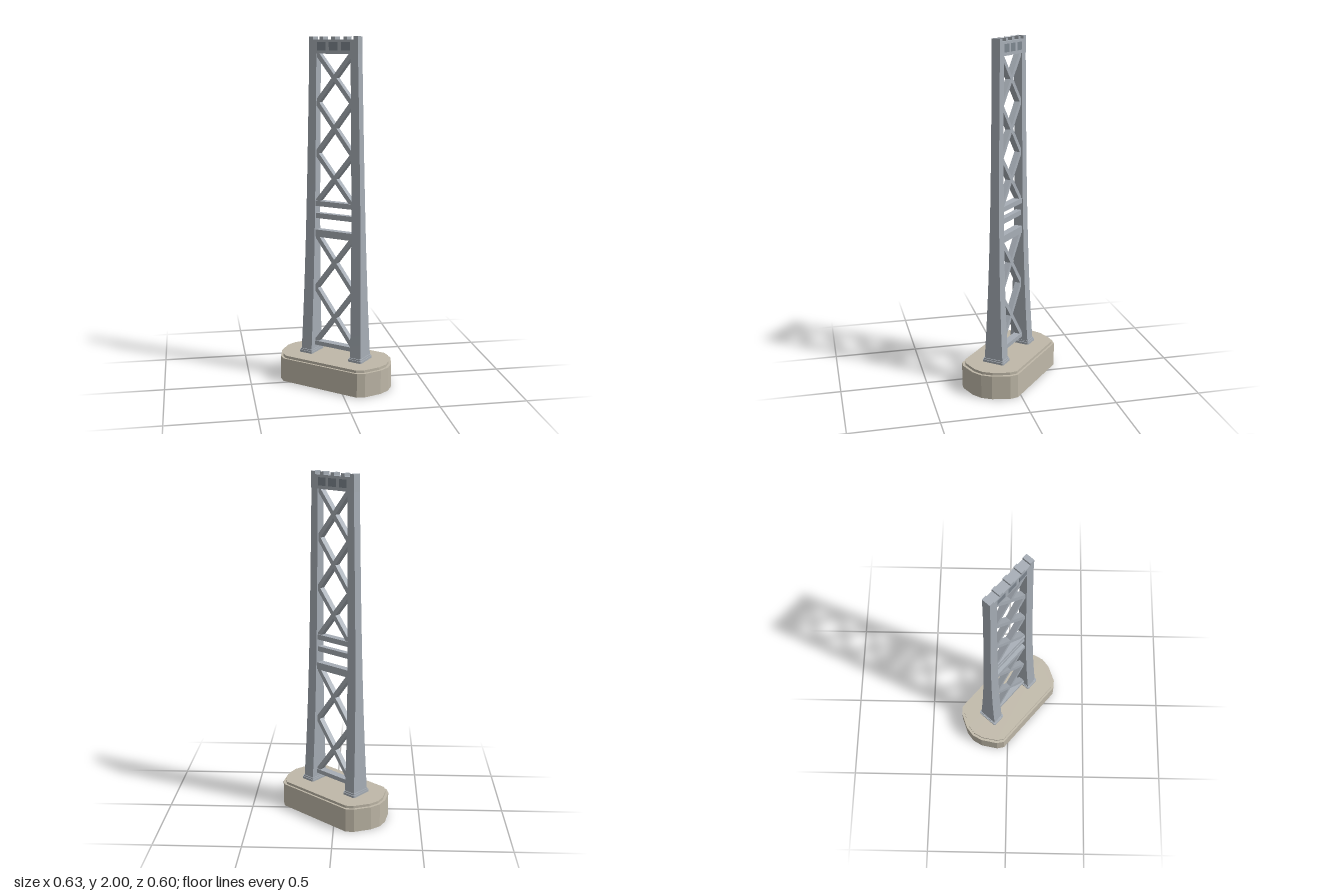
import * as THREE from 'three';
import { toCreasedNormals } from 'three/addons/utils/BufferGeometryUtils.js';

const steel = new THREE.MeshStandardMaterial({ color: 0xa6adb5 });
const darkSteel = new THREE.MeshStandardMaterial({ color: 0x7d868f });
const stone = new THREE.MeshStandardMaterial({ color: 0xbfb8a8, side: THREE.DoubleSide });

// Skin a stack of equal-length rings of [x, y, z], closing the top; the bottom stays open.
function loft(rings) {
  const pos = [];
  const n = rings[0].length;
  for (let i = 0; i < rings.length - 1; i++) {
    for (let j = 0; j < n; j++) {
      const k = (j + 1) % n;
      const a = rings[i][j], b = rings[i][k], c = rings[i + 1][k], d = rings[i + 1][j];
      pos.push(...a, ...b, ...c, ...a, ...c, ...d);
    }
  }
  const top = rings[rings.length - 1];
  for (let j = 1; j < n - 1; j++) pos.push(...top[0], ...top[j], ...top[j + 1]);
  const g = new THREE.BufferGeometry();
  g.setAttribute('position', new THREE.Float32BufferAttribute(pos, 3));
  g.computeVertexNormals();
  return g;
}

function add(parent, name, geometry, material = steel) {
  const mesh = new THREE.Mesh(geometry, material);
  mesh.name = name;
  parent.add(mesh);
  return mesh;
}

function box(parent, name, w, h, d, x, y, z = 0, material = steel) {
  const mesh = add(parent, name, new THREE.BoxGeometry(w, h, d), material);
  mesh.position.set(x, y, z);
  return mesh;
}

// Rounded plate lying flat, w along x and d along z
function plate(w, d, h, r) {
  const x = w / 2 - r, y = d / 2 - r;
  const s = new THREE.Shape();
  s.absarc(x, y, r, 0, Math.PI / 2);
  s.absarc(-x, y, r, Math.PI / 2, Math.PI);
  s.absarc(-x, -y, r, Math.PI, Math.PI * 1.5);
  s.absarc(x, -y, r, Math.PI * 1.5, Math.PI * 2);
  return new THREE.ExtrudeGeometry(s, { depth: h, bevelEnabled: false, curveSegments: 4 })
    .rotateX(-Math.PI / 2);
}

// Straight leg faces along the tower's width
const LEG_BOTTOM = 0.17, LEG_TOP = 1.91;
const legT = (y) => (y - LEG_BOTTOM) / (LEG_TOP - LEG_BOTTOM);
const innerX = (y) => THREE.MathUtils.lerp(0.131, 0.11, legT(y));
const outerX = (y) => THREE.MathUtils.lerp(0.2, 0.157, legT(y));
// Depth flares towards the foot
const legHalfDepth = (y) => 0.0245 + 0.0335 * Math.pow(1 - legT(y), 3.2);

function createPier() {
  // One quarter of the outline, mirrored into a full ring
  const q = [[0.35, 0], [0.337, 0.063], [0.286, 0.153], [0.248, 0.182]];
  const outline = [
    ...q.map(([x, z]) => [x, -z]),
    ...q.slice(1).reverse().map(([x, z]) => [-x, -z]),
    ...q.map(([x, z]) => [-x, z]),
    ...q.slice(1).reverse(),
  ];
  const ring = (y, sx, sz) => outline.map(([x, z]) => [x * sx, y, z * sz]);
  return loft([ring(0, 1, 1), ring(0.14, 1, 1), ring(0.14, 0.957, 0.935), ring(0.155, 0.957, 0.935)]);
}

function createLeg() {
  const rings = [];
  const steps = 14;
  for (let i = 0; i <= steps; i++) {
    const y = LEG_BOTTOM + (LEG_TOP - LEG_BOTTOM) * Math.pow(i / steps, 1.5);
    const a = innerX(y), b = outerX(y), d = legHalfDepth(y);
    rings.push([[b, y, d], [b, y, -d], [a, y, -d], [a, y, d]]);
  }
  return toCreasedNormals(loft(rings), 0.5);
}

export function createModel() {
  const model = new THREE.Group();
  model.name = 'bridgeTower';
  const tower = new THREE.Group();
  tower.name = 'tower';
  tower.rotation.y = THREE.MathUtils.degToRad(-40.4);
  model.add(tower);

  add(tower, 'pier', createPier(), stone);

  // Legs on stepped foot plates
  const legGeometry = createLeg();
  const footGeometry = plate(0.088, 0.136, 0.013, 0.01);
  const footStepGeometry = plate(0.078, 0.126, 0.009, 0.008);
  for (const side of [1, -1]) {
    const leg = new THREE.Group();
    leg.name = side > 0 ? 'leftLeg' : 'rightLeg';
    leg.rotation.y = side > 0 ? 0 : Math.PI;
    add(leg, 'legShaft', legGeometry);
    add(leg, 'footPlate', footGeometry).position.set(0.166, 0.155, 0);
    add(leg, 'footStep', footStepGeometry).position.set(0.166, 0.168, 0);
    tower.add(leg);
  }

  // Cross bracing, one X per bay
  const bays = [[1.905, 1.635], [1.635, 1.345], [1.345, 1.06], [0.87, 0.55], [0.55, 0.215]];
  for (const [top, bottom] of bays) {
    for (const side of [1, -1]) {
      const x1 = innerX(top) * side, x2 = -innerX(bottom) * side;
      const dx = x2 - x1, dy = bottom - top;
      const brace = box(tower, 'diagonalBrace', Math.hypot(dx, dy) + 0.008, 0.025, 0.034,
        (x1 + x2) / 2, (top + bottom) / 2);
      brace.rotation.z = Math.atan2(dy, dx);
    }
  }

  // Horizontal struts: [height, thickness, depth]
  for (const [y, h, d] of [[1.055, 0.03, 0.045], [0.983, 0.03, 0.034], [0.88, 0.042, 0.045], [0.212, 0.025, 0.045]]) {
    box(tower, 'horizontalStrut', 2 * innerX(y) + 0.01, h, d, 0, y);
  }

  // Top beam with raised blocks and dark panels
  box(tower, 'topBeam', 0.316, 0.078, 0.05, 0, 1.944);
  for (const [x, w] of [[-0.144, 0.028], [-0.077, 0.024], [0, 0.026], [0.077, 0.024], [0.144, 0.028]]) {
    box(tower, 'topBlock', w, 0.018, 0.05, x, 1.991);
  }
  for (const x of [-0.078, 0, 0.078]) {
    box(tower, 'beamPanel', 0.056, 0.045, 0.052, x, 1.946, 0, darkSteel);
  }
  return model;
}
